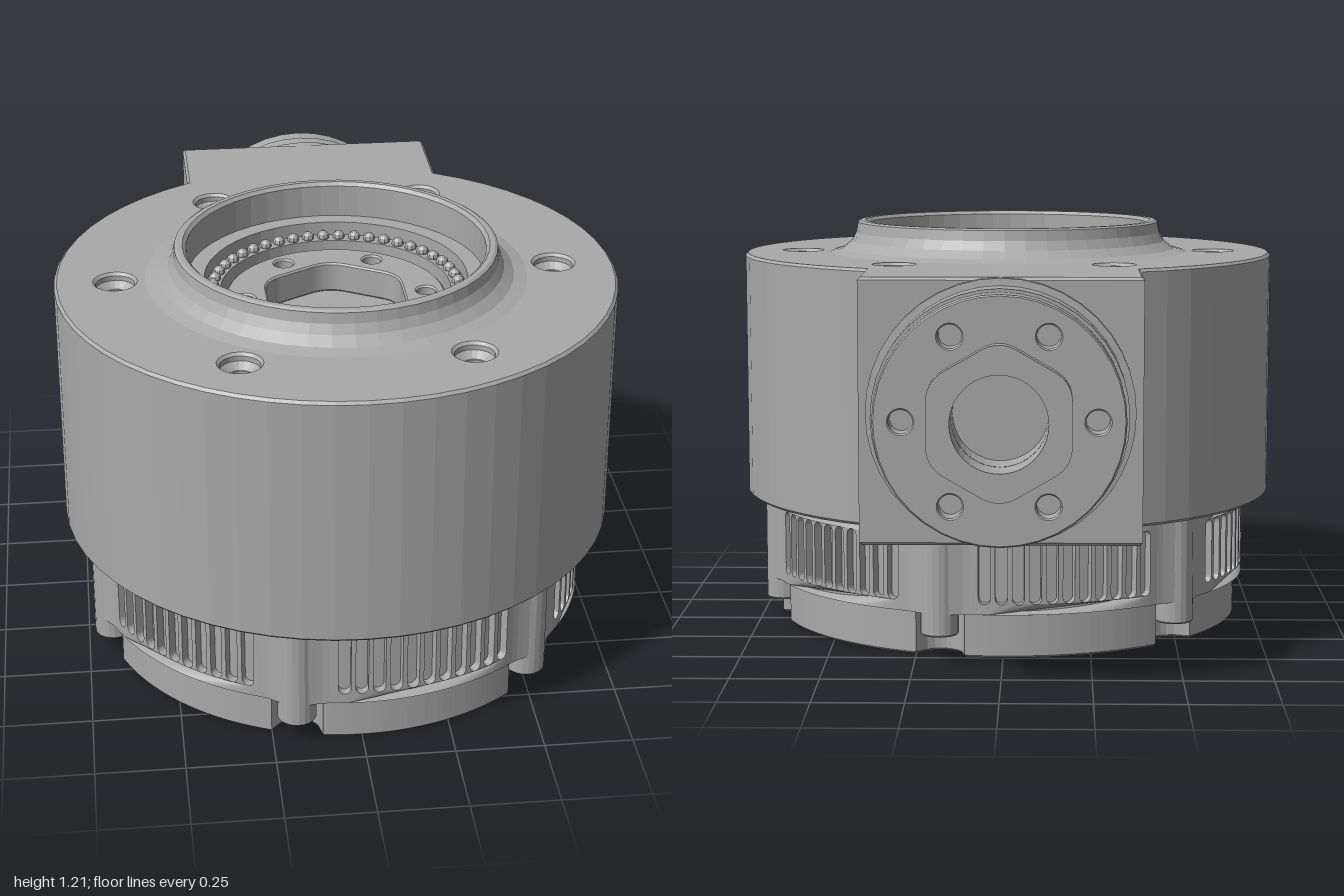
import * as THREE from 'three';

const TAU = Math.PI * 2, RAD = Math.PI / 180;
const LUGS = [45, 105, 165, 225, 285, 345]; // degrees from +z towards +x
const FLAT = 75; // direction of the cable outlet face

const metal = new THREE.MeshStandardMaterial({ color: 0xa9a9a9 });
metal.name = 'machined grey metal';

// Faceted mesh
function part(name, geometry, parent) {
  const g = geometry.index ? geometry.toNonIndexed() : geometry;
  g.computeVertexNormals();
  const mesh = new THREE.Mesh(g, metal);
  mesh.name = name;
  parent.add(mesh);
  return mesh;
}

const lathe = (profile, segments) =>
  new THREE.LatheGeometry(profile.map(([r, y]) => new THREE.Vector2(r, y)), segments);

function circle(r, x = 0, y = 0, Type = THREE.Path) {
  const p = new Type();
  p.absarc(x, y, r, 0, TAU, false);
  return p;
}

function extrude(shape, depth, bevel = 0, curveSegments = 24) {
  const g = new THREE.ExtrudeGeometry(shape, {
    depth: depth - 2 * bevel, curveSegments, bevelEnabled: bevel > 0,
    bevelThickness: bevel, bevelSize: bevel, bevelOffset: -bevel, bevelSegments: 1,
  });
  return g.translate(0, 0, bevel);
}

// Shape drawn in plan (shape y = -z), raised from y0 to y1
const slab = (shape, y0, y1, bevel, seg) =>
  extrude(shape, y1 - y0, bevel, seg).rotateX(-Math.PI / 2).translate(0, y0, 0);

// Ring of six positions
const six = (r, start = 0) => Array.from({ length: 6 }, (_, i) => {
  const a = start + i * TAU / 6;
  return [r * Math.cos(a), r * Math.sin(a)];
});

// Hexagon with softened corners and flats facing +-x
function hexagon(radius, Type) {
  const corners = six(radius, Math.PI / 6).map(([x, y]) => new THREE.Vector2(x, y));
  const p = new Type();
  corners.forEach((c, i) => {
    const a = c.clone().lerp(corners[(i + 5) % 6], 0.25);
    const b = c.clone().lerp(corners[(i + 1) % 6], 0.25);
    if (i) p.lineTo(a.x, a.y); else p.moveTo(a.x, a.y);
    p.quadraticCurveTo(c.x, c.y, b.x, b.y);
  });
  p.closePath();
  return p;
}

// Closed plan outline from a radius rule
function polar(rule) {
  const pts = [];
  for (let a = 0; a < 360; a += 1.5) {
    const r = rule(a);
    pts.push(new THREE.Vector2(r * Math.sin(a * RAD), -r * Math.cos(a * RAD)));
  }
  return new THREE.Shape(pts);
}
const fromLug = a => Math.min(...LUGS.map(l => Math.abs(((a - l + 540) % 360) - 180)));

// Slotted wall panel, cut flat and bent round the housing
function ventPanel() {
  const R = 0.725, half = R * 22.5 * RAD, y0 = 0.13, y1 = 0.385, n = 22;
  const pts = [];
  for (let i = 0; i <= n; i++) pts.push(new THREE.Vector2(-half + 2 * half * i / n, y0));
  for (let i = n; i >= 0; i--) pts.push(new THREE.Vector2(-half + 2 * half * i / n, y1));
  const shape = new THREE.Shape(pts), w = 0.0175;
  for (let i = -5; i <= 5; i++) {
    const u = i * 0.0485, slot = new THREE.Path();
    slot.absarc(u, 0.35 - w, w, 0, Math.PI, false);
    slot.absarc(u, 0.16 + w, w, Math.PI, TAU, false);
    slot.closePath();
    shape.holes.push(slot);
  }
  const g = extrude(shape, 0.025, 0, 4), p = g.attributes.position;
  for (let i = 0; i < p.count; i++) {
    const a = p.getX(i) / R, r = 0.70 + p.getZ(i);
    p.setXYZ(i, r * Math.sin(a), p.getY(i), r * Math.cos(a));
  }
  return g;
}

export function createModel() {
  const model = new THREE.Group();
  model.name = 'rotary joint actuator';
  const main = new THREE.Group();
  main.name = 'actuator';
  main.position.z = 0.2;
  model.add(main);

  // Round body with its square side neck, bored for the hub and screws
  const t = Math.acos(0.385 / 0.8);
  const outline = new THREE.Shape();
  outline.absarc(0, 0, 0.8, Math.PI - t, TAU + t, false);
  outline.lineTo(0.385, 0.975);
  outline.lineTo(-0.385, 0.975);
  outline.closePath();
  outline.holes.push(circle(0.46));
  six(0.627).forEach(([x, y]) => outline.holes.push(circle(0.055, x, y)));
  part('body', slab(outline, 0.38, 1.11, 0.008), main);

  // Countersunk screw seats
  six(0.627).forEach(([x, z]) => part('screwSeat',
    lathe([[0.058, 1.09], [0.035, 1.07], [0.03, 1.07], [0.03, 1.02], [0, 1.02]], 20), main)
    .position.set(x, 0, z));

  // Raised collar and stepped well
  part('collar', lathe([
    [0.56, 1.105], [0.54, 1.111], [0.505, 1.12], [0.477, 1.143], [0.463, 1.17], [0.458, 1.2],
    [0.45, 1.205], [0.435, 1.205], [0.425, 1.195], [0.425, 1.1], [0.375, 1.1], [0.375, 1.06],
    [0.33, 1.06], [0.33, 0.95], [0, 0.95]], 48), main);

  // Ring of rollers
  for (let i = 0; i < 48; i++) {
    const a = i / 48 * TAU;
    part('roller', new THREE.SphereGeometry(0.018, 8, 6), main)
      .position.set(0.352 * Math.cos(a), 1.065, 0.352 * Math.sin(a));
  }

  // Output hub with hexagonal opening
  const hub = circle(0.315, 0, 0, THREE.Shape);
  hub.holes.push(hexagon(0.225, THREE.Path));
  six(0.26).forEach(([x, y]) => hub.holes.push(circle(0.027, x, y)));
  part('outputHub', slab(hub, 0.95, 1.04, 0.005), main);

  // Side flange: stepped rings, drilled disc and hexagonal boss, facing -z
  const flange = new THREE.Group();
  flange.name = 'sideFlange';
  flange.position.set(0, 0.745, -0.2);
  main.add(flange);
  part('flangeRings', lathe([[0.365, 0.76], [0.365, 0.795], [0.345, 0.797], [0.345, 0.885],
    [0.13, 0.885], [0.13, 0.78], [0, 0.78]], 40).rotateX(-Math.PI / 2), flange);
  const disc = circle(0.336, 0, 0, THREE.Shape);
  disc.holes.push(circle(0.13));
  six(0.26).forEach(([x, y]) => disc.holes.push(circle(0.032, x, y)));
  part('flangeDisc', extrude(disc, 0.07, 0.004, 20).rotateY(Math.PI).translate(0, 0, -0.885), flange);
  const boss = hexagon(0.222, THREE.Shape);
  boss.holes.push(circle(0.13));
  part('flangeBoss', extrude(boss, 0.05, 0, 20).rotateY(Math.PI).translate(0, 0, -0.95), flange);

  // Motor housing: core thickened at the lugs
  const core = polar(a => {
    const d = fromLug(a);
    return d > 7.5 ? 0.70 : 0.725 + 0.022 * (1 + Math.cos(d / 7.5 * Math.PI)) / 2;
  });
  part('housingCore', slab(core, 0.13, 0.39), main);
  LUGS.forEach(l => {
    part('ventPanel', ventPanel(), main).rotation.y = (l + 30) * RAD;
    part('lug', lathe([[0, 0.1], [0.025, 0.1], [0.025, 0.065], [0.05, 0.065], [0.055, 0.07],
      [0.055, 0.385]], 20), main)
      .position.set(0.7 * Math.sin(l * RAD), 0, 0.7 * Math.cos(l * RAD));
  });

  // Base cover with notches under the lugs and a pocket for the outlet plate
  const base = polar(a => {
    const d = a - FLAT;
    if (Math.abs(d) < 21) return 0.604 / Math.cos(d * RAD);
    const s = 0.7 * fromLug(a) * RAD;
    return 0.7 - Math.sqrt(Math.max(0, 0.07 ** 2 - s * s));
  });
  six(0.58, 15 * RAD).forEach(([x, y]) => base.holes.push(circle(0.014, x, y)));
  part('baseCover', slab(base, 0, 0.13, 0.006, 6), main);

  // Flat outlet plate with two cable holes
  const plate = new THREE.Shape([[-0.25, 0], [0.25, 0], [0.25, 0.13], [-0.25, 0.13]]
    .map(([x, y]) => new THREE.Vector2(x, y)));
  [-0.1, 0.1].forEach(x => plate.holes.push(circle(0.048, x, 0.078)));
  part('outletPlate', extrude(plate, 0.05, 0, 12).translate(0, 0, 0.604), main)
    .rotation.y = FLAT * RAD;

  return model;
}
